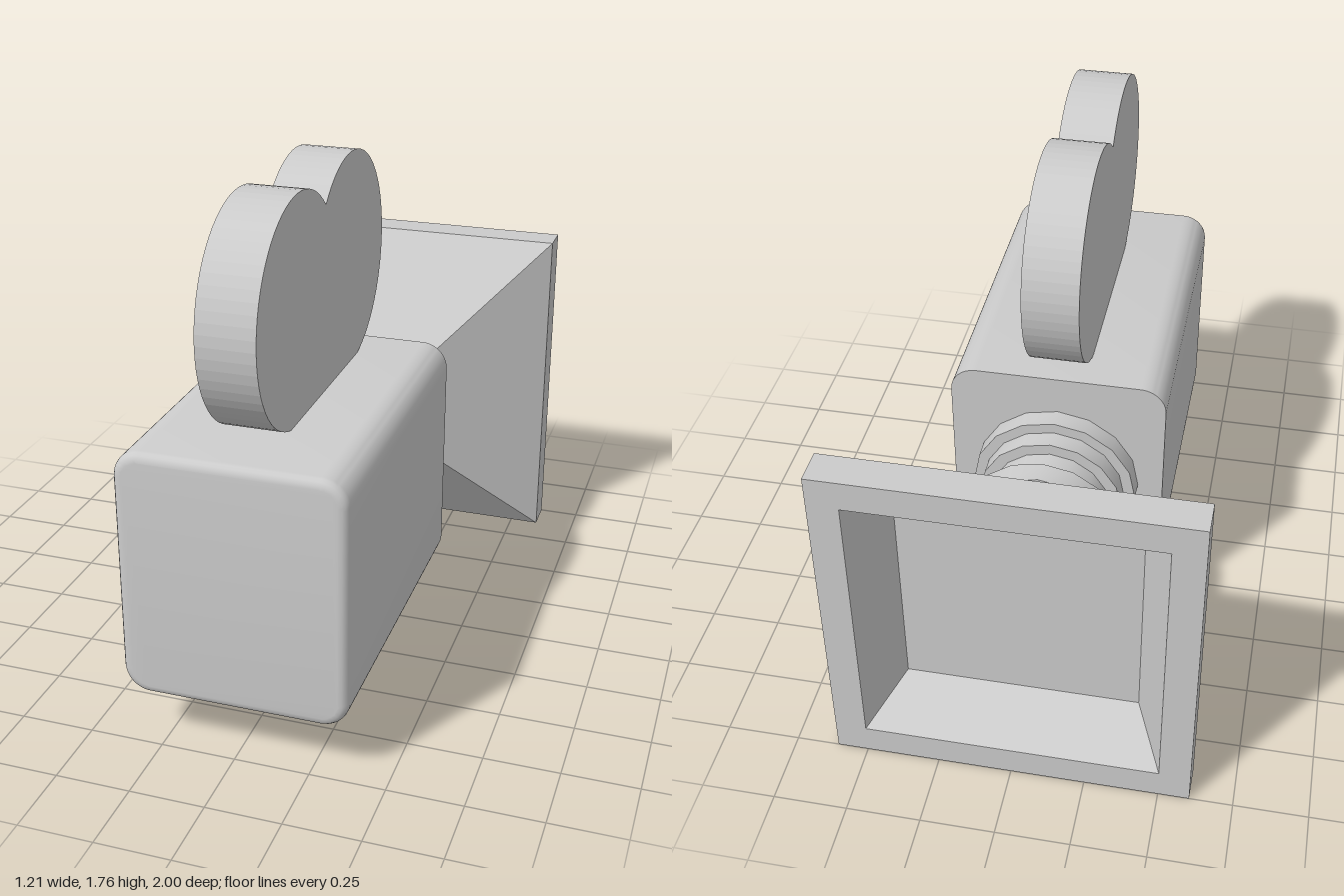
import * as THREE from 'three';
import { toCreasedNormals } from 'three/addons/utils/BufferGeometryUtils.js';

const AXIS_Y = 0.605; // height of the lens axis
const material = new THREE.MeshStandardMaterial({ color: 0xcccccc });

function part(name, geometry) {
  const mesh = new THREE.Mesh(geometry, material);
  mesh.name = name;
  return mesh;
}

// Rounded box: soft side and front edges, flat sharp back
function bodyGeometry() {
  const bevel = 0.03, w = 0.375 - bevel, h = 0.4225 - bevel, r = 0.06, depth = 1.16;
  const shape = new THREE.Shape();
  shape.absarc(w - r, h - r, r, 0, Math.PI / 2);
  shape.absarc(-w + r, h - r, r, Math.PI / 2, Math.PI);
  shape.absarc(-w + r, -h + r, r, Math.PI, Math.PI * 1.5);
  shape.absarc(w - r, -h + r, r, Math.PI * 1.5, Math.PI * 2);
  shape.closePath();
  const geo = new THREE.ExtrudeGeometry(shape, {
    depth: depth - bevel, bevelEnabled: true, bevelSize: bevel,
    bevelThickness: bevel, bevelSegments: 4, curveSegments: 6,
  });
  const pos = geo.attributes.position;
  for (let i = 0; i < pos.count; i++) pos.setZ(i, Math.max(0, pos.getZ(i)));
  geo.translate(0, 0.6075, -0.16);
  return toCreasedNormals(geo, 0.7);
}

// Two overlapping reels joined by a flat base, faceted rim
function magazineGeometry() {
  const r = 0.37, y = 1.39, front = 0.61, back = 0.09, width = 0.19;
  const notch = Math.acos((front - back) / 2 / r);
  const shape = new THREE.Shape();
  shape.absarc(front, y, r, -Math.PI / 2, Math.PI - notch);
  shape.absarc(back, y, r, notch, Math.PI * 1.5);
  shape.closePath();
  const geo = new THREE.ExtrudeGeometry(shape, { depth: width, bevelEnabled: false, curveSegments: 20 });
  geo.translate(0, 0, -width / 2);
  geo.rotateY(-Math.PI / 2);
  return geo;
}

// Round section along z; the second radius is at the far end
function ringGeometry(zNear, zFar, rNear, rFar = rNear) {
  const geo = new THREE.CylinderGeometry(rFar, rNear, zNear - zFar, 16);
  geo.rotateX(-Math.PI / 2);
  geo.translate(0, AXIS_Y, (zNear + zFar) / 2);
  return toCreasedNormals(geo, 0.6);
}

// Square hood: flared outside, thick rim, tapered recess
function hoodGeometry() {
  const profile = [[0, 0.556], [0.177, 0.556], [0.605, 0.88], [0.605, 1], [0.5, 1], [0.4, 0.8], [0, 0.8]];
  const points = profile.map(([half, d]) => new THREE.Vector2(half * Math.SQRT2, d));
  const geo = new THREE.LatheGeometry(points, 4, Math.PI / 4).toNonIndexed();
  geo.rotateX(-Math.PI / 2);
  geo.translate(0, AXIS_Y, 0);
  geo.computeVertexNormals();
  return geo;
}

export function createModel() {
  const model = new THREE.Group();
  model.name = 'filmCamera';
  model.add(part('body', bodyGeometry()));
  model.add(part('filmMagazine', magazineGeometry()));

  const lens = new THREE.Group();
  lens.name = 'lens';
  lens.add(
    part('mountRing', ringGeometry(-0.15, -0.23, 0.288)),
    part('steppedRing', ringGeometry(-0.23, -0.297, 0.25)),
    part('lensBarrel', ringGeometry(-0.297, -0.42, 0.21)),
    part('focusRing', ringGeometry(-0.42, -0.5, 0.27)),
    part('lensCone', ringGeometry(-0.5, -0.61, 0.237, 0.215)),
  );
  model.add(lens);
  model.add(part('lensHood', hoodGeometry()));
  return model;
}
